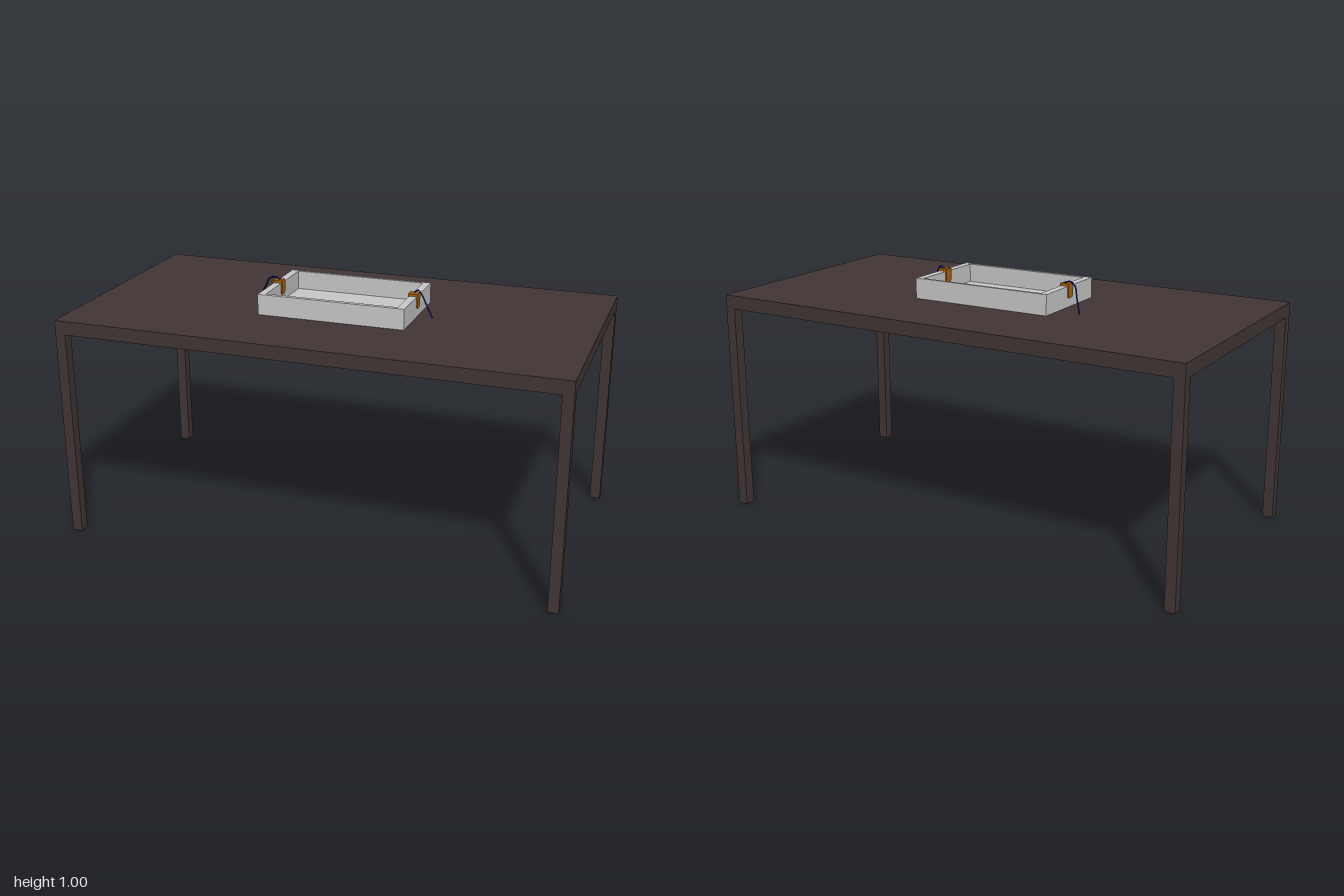
import * as THREE from 'three';

export function createModel() {
  const model = new THREE.Group();
  const wood = new THREE.MeshStandardMaterial({ color: 0x423535 });
  const plastic = new THREE.MeshStandardMaterial({ color: 0xc9c9c9 });
  const copper = new THREE.MeshStandardMaterial({ color: 0xa8620f });
  const wireBlue = new THREE.MeshStandardMaterial({ color: 0x000a80 });
  wood.name = 'dark wood';
  plastic.name = 'light grey plastic';
  copper.name = 'copper';
  wireBlue.name = 'navy wire';

  const add = (name, geometry, material, parent) => {
    const mesh = new THREE.Mesh(geometry, material);
    mesh.name = name;
    parent.add(mesh);
    return mesh;
  };
  // Box given by its lower and upper limits on each axis
  const box = (name, [x0, x1], [y0, y1], [z0, z1], material, parent) => {
    const mesh = add(name, new THREE.BoxGeometry(x1 - x0, y1 - y0, z1 - z0), material, parent);
    mesh.position.set((x0 + x1) / 2, (y0 + y1) / 2, (z0 + z1) / 2);
    return mesh;
  };
  const group = (name) => {
    const g = new THREE.Group();
    g.name = name;
    model.add(g);
    return g;
  };

  // Table: slab and four square legs flush with its corners
  const table = group('table');
  box('tableTop', [-1, 1], [0.845, 0.9], [-0.52, 0.52], wood, table);
  for (const sx of [-1, 1]) for (const sz of [-1, 1]) {
    const leg = add('tableLeg', new THREE.BoxGeometry(0.042, 0.845, 0.042), wood, table);
    leg.position.set(sx * 0.979, 0.4225, sz * 0.499);
  }

  // Open tray: rectangular wall ring and a thin floor
  const tray = group('tray');
  const rect = (Type, x0, x1, z0, z1) => new Type([
    [x0, -z0], [x0, -z1], [x1, -z1], [x1, -z0],
  ].map(([x, y]) => new THREE.Vector2(x, y)));
  const ring = rect(THREE.Shape, -0.29, 0.302, -0.178, 0.194);
  ring.holes.push(rect(THREE.Path, -0.26, 0.272, -0.165, 0.176));
  const walls = add('trayWalls',
    new THREE.ExtrudeGeometry(ring, { depth: 0.082, bevelEnabled: false }), plastic, tray);
  walls.rotation.x = -Math.PI / 2;
  walls.position.y = 0.9;
  box('trayFloor', [-0.26, 0.272], [0.9, 0.908], [-0.165, 0.176], plastic, tray);

  // Clips: a strip over each end wall with chamfered plates hanging down both sides
  const plateShape = new THREE.Shape([
    [-0.012, -0.027], [0.012, -0.027], [0.019, -0.018], [0.019, 0.022],
    [0.014, 0.03], [-0.014, 0.03], [-0.019, 0.022], [-0.019, -0.018],
  ].map(([x, y]) => new THREE.Vector2(x, y)));
  const plateGeometry = new THREE.ExtrudeGeometry(plateShape, { depth: 0.004, bevelEnabled: false });
  plateGeometry.translate(0, 0, -0.002);
  plateGeometry.rotateY(Math.PI / 2);
  for (const [name, x0, x1] of [['rightClip', -0.29, -0.26], ['leftClip', 0.272, 0.302]]) {
    const clip = group(name);
    box('clipBridge', [x0 - 0.004, x1 + 0.004], [0.982, 0.992], [-0.01, 0.026], copper, clip);
    for (const x of [x0 - 0.002, x1 + 0.002]) {
      add('clipPlate', plateGeometry, copper, clip).position.set(x, 0.962, 0.008);
    }
  }

  // Wires from the clips down to the table top
  const wire = (name, points) => {
    const curve = new THREE.CatmullRomCurve3(points.map((p) => new THREE.Vector3(...p)));
    add(name, new THREE.TubeGeometry(curve, 32, 0.003, 8), wireBlue, model);
  };
  wire('rightWire', [[-0.268, 0.99, 0.005], [-0.29, 1.0, 0.004], [-0.325, 0.987, -0.015],
    [-0.355, 0.95, -0.055], [-0.392, 0.902, -0.102]]);
  wire('leftWire', [[0.285, 0.99, 0.0], [0.3, 1.002, 0.002], [0.315, 0.99, 0.005],
    [0.335, 0.955, 0.011], [0.365, 0.902, 0.02]]);

  return model;
}
